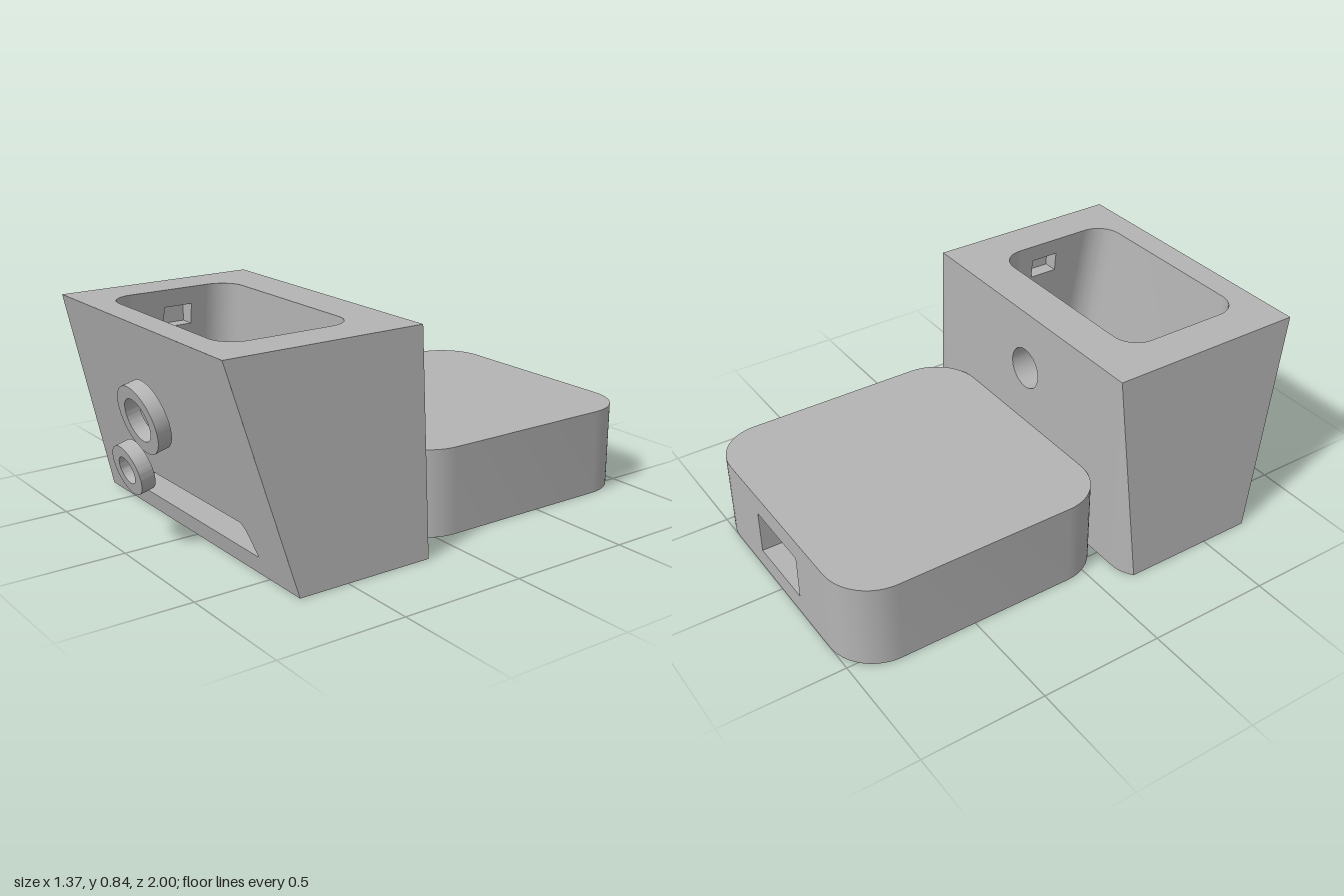
import * as THREE from 'three';
import { toCreasedNormals } from 'three/addons/utils/BufferGeometryUtils.js';

const V = (x, y, z) => new THREE.Vector3(x, y, z);
const V2 = (x, y) => new THREE.Vector2(x, y);
const N = 12; // segments per rounded corner
// segment numbers of the straight walls in a rounded rectangle loop
const RIGHT = 2 * N + 1, BACK = 3 * N + 2, LEFT = 4 * N + 3;

export function createModel() {
  const model = new THREE.Group();
  const grey = new THREE.MeshStandardMaterial({ color: 0xb4b4b4 });
  grey.name = 'grey';

  function add(parent, name, geometry) {
    const mesh = new THREE.Mesh(geometry, grey);
    mesh.name = name;
    parent.add(mesh);
    return mesh;
  }
  function group(name) {
    const g = new THREE.Group();
    g.name = name;
    model.add(g);
    return g;
  }

  // Flat face: 2D outline and holes mapped into space, turned towards "out"
  function face(outline, holes, map, out) {
    const shape = new THREE.Shape(outline);
    shape.holes = holes.map(h => new THREE.Path(h));
    const g = new THREE.ShapeGeometry(shape).toNonIndexed();
    const p = g.attributes.position;
    for (let i = 0; i < p.count; i++) {
      const v = map(p.getX(i), p.getY(i));
      p.setXYZ(i, v.x, v.y, v.z);
    }
    g.computeVertexNormals();
    if (V(0, 0, 0).fromBufferAttribute(g.attributes.normal, 0).dot(out) < 0) {
      for (let i = 0; i < p.count; i += 3) {
        const a = V(0, 0, 0).fromBufferAttribute(p, i + 1);
        const b = V(0, 0, 0).fromBufferAttribute(p, i + 2);
        p.setXYZ(i + 1, b.x, b.y, b.z);
        p.setXYZ(i + 2, a.x, a.y, a.z);
      }
      g.computeVertexNormals();
    }
    return g;
  }

  // Wall between two matching rows of points, facing its centre or away from it
  function strip(a, b, { inward = false, closed = true, skip = [] } = {}) {
    const centre = V(0, 0, 0);
    [...a, ...b].forEach(p => centre.add(p));
    centre.divideScalar(a.length * 2);
    const tris = [];
    let facing = 0;
    const tri = (p, q, r) => {
      const n = q.clone().sub(p).cross(r.clone().sub(p));
      if (n.length() < 1e-9) return;
      facing += n.dot(p.clone().sub(centre));
      tris.push([p, q, r]);
    };
    for (let i = 0; i < a.length - (closed ? 0 : 1); i++) {
      if (skip.includes(i)) continue;
      const j = (i + 1) % a.length;
      tri(a[i], b[i], b[j]);
      tri(a[i], b[j], a[j]);
    }
    const flip = (facing > 0) === inward;
    const pts = tris.flatMap(([p, q, r]) => (flip ? [p, r, q] : [p, q, r]));
    const g = new THREE.BufferGeometry().setFromPoints(pts);
    return toCreasedNormals(g, 0.6);
  }

  // Rounded rectangle lying at height y
  function loop(w, z0, z1, r, y) {
    const pts = [];
    [[1, 1], [-1, 1], [-1, -1], [1, -1]].forEach(([sx, sz], k) => {
      for (let i = 0; i <= N; i++) {
        const t = (k + i / N) * Math.PI / 2;
        pts.push(V(sx * (w - r) + r * Math.cos(t), y, (sz > 0 ? z1 - r : z0 + r) + r * Math.sin(t)));
      }
    });
    return pts;
  }
  const flat = pts => pts.map(p => V2(p.x, p.z));
  const level = y => (x, z) => V(x, y, z);
  const upright = z => (x, y) => V(x, y, z);
  const rect = (a, b, c, d) => [V2(a, b), V2(c, b), V2(c, d), V2(a, d)];
  const UP = V(0, 1, 0), DOWN = V(0, -1, 0), FRONT = V(0, 0, 1), REAR = V(0, 0, -1);

  // ---- Tapered housing ----
  const H = 0.84, zBack = 0.11, floorY = 0.075;
  const frontZ = y => 0.70 + 0.262 * y;
  const housing = group('housing');

  // Cavity: flares downwards and breaks through the sloping front
  const top = loop(0.425, 0.28, 0.815, 0.1, H);
  const over = p => p.z - frontZ(p.y);
  const slot = [];
  const low = loop(0.50, 0.28, 0.738, 0.1, floorY).map((q, i) => {
    if (over(q) <= 0) {
      if (over(q) > -0.01) q.z = frontZ(floorY);
      return q;
    }
    const p = top[i], t = over(p) / (over(p) - over(q));
    const c = p.clone().lerp(q, t);
    slot.push(i);
    return c;
  });
  const slotEdge = [slot[0] - 1, ...slot, slot[slot.length - 1] + 1].map(i => V2(low[i].x, low[i].y));
  add(housing, 'cavityWalls', strip(top, low, { inward: true, skip: [RIGHT, BACK, LEFT] }));
  add(housing, 'cavityFloor', face(flat(low.filter((p, i) => !slot.includes(i))), [], level(floorY), UP));

  // Outer faces
  add(housing, 'rim', face(rect(-0.59, zBack, 0.59, 0.92), [flat(top)], level(H), UP));
  add(housing, 'frontPanel', face([V2(-0.685, 0), V2(0.685, 0), V2(0.59, H), V2(-0.59, H)],
    [slotEdge], (x, y) => V(x, y, frontZ(y)), FRONT));
  const circle = new THREE.Path().absarc(0, 0.59, 0.085, 0, Math.PI * 2).getPoints(24).slice(0, -1);
  add(housing, 'backPanel', face(rect(-0.59, 0, 0.59, H), [circle], upright(zBack), REAR));
  const corner = [];
  for (let i = 0; i <= 6; i++) {
    const t = (i / 6) * 0.72;
    corner.push(V2(0.59 + 0.095 * Math.sin(t) / Math.sin(0.72),
      zBack + 0.035 * (1 - Math.cos(t)) / (1 - Math.cos(0.72))));
  }
  const base = [...corner, V2(0.685, 0.70), V2(-0.685, 0.70),
    ...corner.map(p => V2(-p.x, p.y)).reverse()];
  add(housing, 'underside', face(base, [], level(0), DOWN));

  // Back wall of the cavity with the round cable hole
  const wall = [top[BACK], top[BACK + 1], low[BACK + 1], low[BACK]].map(p => V2(p.x, p.y));
  add(housing, 'cavityBackWall', face(wall, [circle], upright(0.28), FRONT));
  add(housing, 'cableHole', strip(circle.map(p => V(p.x, p.y, zBack)),
    circle.map(p => V(p.x, p.y, 0.28)), { inward: true }));

  for (const s of [1, -1]) {
    const side = s > 0 ? 'left' : 'right';
    add(housing, side + 'Panel', face([V2(0.70, 0), V2(0.92, H), V2(zBack, H), V2(0.145, 0)], [],
      (z, y) => V(s * (0.685 - 0.095 * y / H), y, z), V(s, 0, 0)));
    add(housing, side + 'BackCorner', strip(corner.map(() => V(s * 0.59, H, zBack)),
      corner.map(p => V(s * p.x, 0, p.y)), { closed: false }));

    // Inner side wall with a shallow latch pocket
    const k = s > 0 ? LEFT : RIGHT, j = (k + 1) % top.length;
    const pocket = rect(0.45, 0.69, 0.57, 0.77);
    const inner = (z, y) => V(s * (0.50 - 0.075 * (y - floorY) / (H - floorY)), y, z);
    const deep = (z, y) => V(s * 0.50, y, z);
    const inside = V(-s, 0, 0);
    add(housing, side + 'CavityWall',
      face([top[k], top[j], low[j], low[k]].map(p => V2(p.z, p.y)), [pocket], inner, inside));
    add(housing, side + 'PocketSides', strip(pocket.map(p => inner(p.x, p.y)),
      pocket.map(p => deep(p.x, p.y)), { inward: true }));
    add(housing, side + 'PocketEnd', face(pocket, [], deep, inside));

    // Small support block on the cavity floor
    add(housing, side + 'Support', new THREE.BoxGeometry(0.06, 0.05, 0.10)).position.set(s * 0.37, 0.10, 0.35);
  }

  // ---- Hollow rear box with a port in its back ----
  const box = group('rearBox');
  const boxH = 0.345;
  const port = rect(-0.155, 0.08, 0.155, 0.26);
  const outer = [0, boxH].map(y => loop(0.565, -1, 0.11, 0.19, y));
  const hollow = [0.08, 0.30].map(y => loop(0.47, -0.905, 0.02, 0.1, y));
  add(box, 'boxWalls', strip(outer[0], outer[1], { skip: [BACK] }));
  add(box, 'boxTop', face(flat(outer[1]), [], level(boxH), UP));
  add(box, 'boxBottom', face(flat(outer[0]), [], level(0), DOWN));
  add(box, 'boxBack', face(rect(-0.375, 0, 0.375, boxH), [port], upright(-1), REAR));
  add(box, 'hollowWalls', strip(hollow[0], hollow[1], { inward: true, skip: [BACK] }));
  add(box, 'hollowFloor', face(flat(hollow[0]), [], level(0.08), UP));
  add(box, 'hollowCeiling', face(flat(hollow[1]), [], level(0.30), DOWN));
  add(box, 'hollowBack', face(rect(-0.37, 0.08, 0.37, 0.30), [port], upright(-0.905), FRONT));
  add(box, 'portSides', strip(port.map(p => V(p.x, p.y, -1)),
    port.map(p => V(p.x, p.y, -0.905)), { inward: true }));

  // ---- Two rings floating parallel to the sloping front ----
  const rings = group('rings');
  function ring(name, R, r, y, z) {
    const shape = new THREE.Shape().absarc(0, 0, R, 0, Math.PI * 2);
    shape.holes.push(new THREE.Path().absarc(0, 0, r, 0, Math.PI * 2, true));
    const g = new THREE.ExtrudeGeometry(shape, { depth: 0.056, bevelEnabled: false, curveSegments: 40 });
    const mesh = add(rings, name, toCreasedNormals(g.translate(0, 0, -0.028), 0.6));
    mesh.position.set(0, y, z);
    mesh.rotation.x = Math.atan(0.262);
  }
  ring('largeRing', 0.135, 0.085, 0.497, 0.898);
  ring('smallRing', 0.098, 0.053, 0.32, 0.948);

  return model;
}
